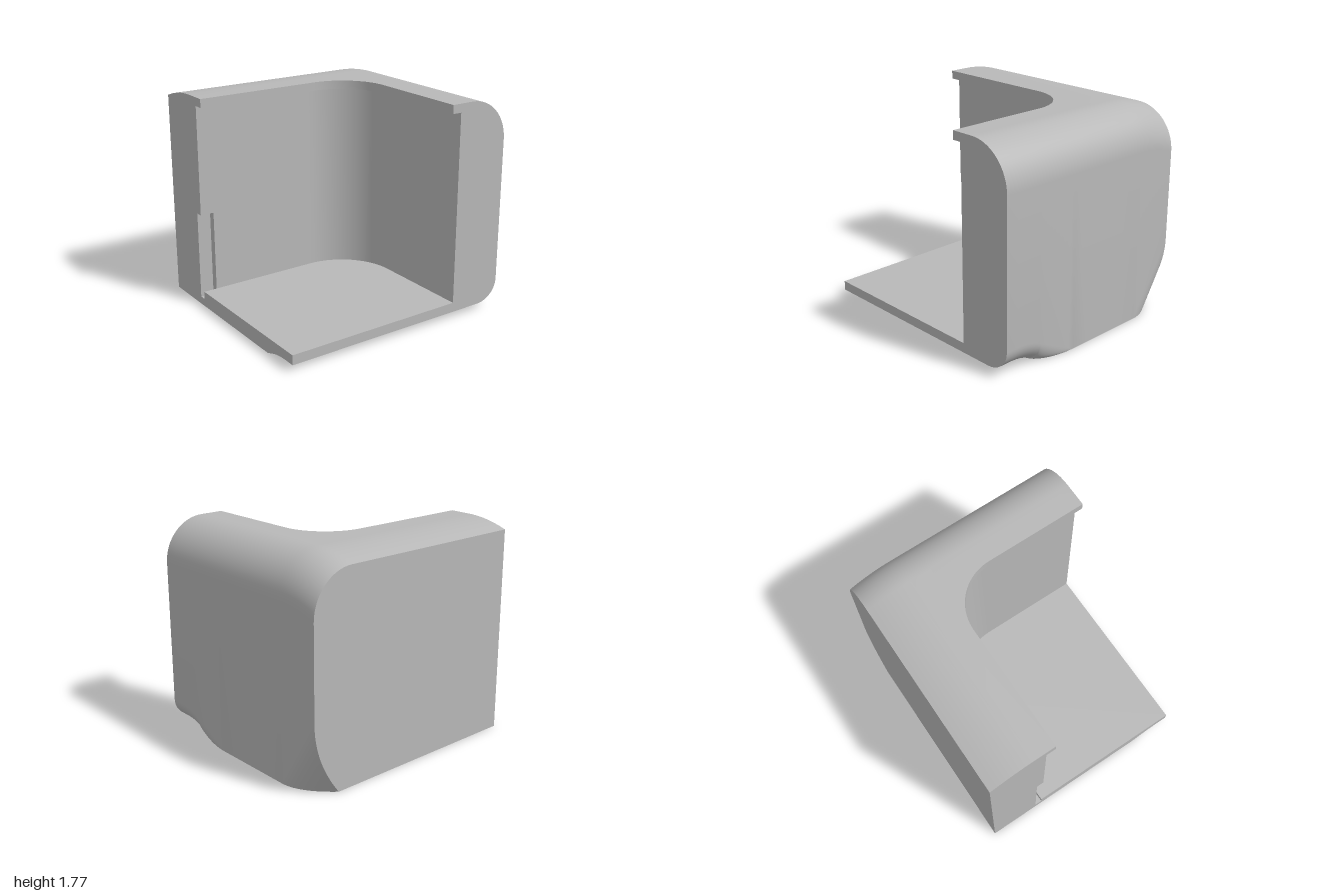
import * as THREE from 'three';
import { toCreasedNormals } from 'three/addons/utils/BufferGeometryUtils.js';

const TOP = 1.77, LIP = 1.70, FLOOR = 0.13, FRONT = 0.91, BACK = -0.91;
const clamp01 = v => Math.min(1, Math.max(0, v));

// Grid surface through rows of [x, y, z] points
function loft(rows) {
  const n = rows[0].length, index = [];
  for (let i = 0; i < rows.length - 1; i++) {
    for (let j = 0; j < n - 1; j++) {
      const a = i * n + j, b = a + n;
      index.push(a, b, a + 1, b, b + 1, a + 1);
    }
  }
  const g = new THREE.BufferGeometry();
  g.setAttribute('position', new THREE.Float32BufferAttribute(rows.flat(2), 3));
  g.setIndex(index);
  return toCreasedNormals(g, 0.5);
}

// Strip between two plan paths of [x, z] at two heights
const strip = (a, y0, b, y1) => loft(a.map((p, i) => [[p[0], y0, p[1]], [b[i][0], y1, b[i][1]]]));
const wall = (path, y0, y1) => strip(path, y0, path, y1);
const flat = pts => new THREE.ShapeGeometry(new THREE.Shape(pts.map(p => new THREE.Vector2(p[0], p[1]))));

// Rounded plan curve of the opening: along the back, round the corner, to the front
function openingPath(radius, startX) {
  const cx = 0.055, cz = 0.05, path = [[startX, cz - radius]];
  for (let i = 0; i <= 20; i++) {
    const a = i / 20 * Math.PI / 2;
    path.push([cx + radius * Math.sin(a), cz - radius * Math.cos(a)]);
  }
  path.push([cx + radius, FRONT]);
  return path;
}

// Outer profiles that change along z
const backBlend = z => clamp01((-0.53 - z) / 0.38);
const topY = z => TOP - 0.07 * backBlend(z) ** 2;
const bottomY = z => (z < 0.57 ? 0 : 0.05 * (1 - clamp01((0.8 - z) / 0.23) ** 2));

// Outer cross-section at z, from the top edge round the right side to the bottom left
function section(z, startX) {
  const t = topY(z), b = bottomY(z), u = backBlend(z), f = clamp01((z - 0.2) / 0.37);
  const pts = [[startX, t, z]];
  for (let i = 0; i <= 16; i++) {
    const a = i / 16 * Math.PI / 2;
    pts.push([0.65 + 0.35 * Math.sin(a), t - 0.35 + 0.35 * Math.cos(a), z]);
  }
  for (let i = 0; i <= 12; i++) {
    const s = i / 12, a = s * Math.PI / 2;
    if (u > 0) pts.push([1 - 0.23 * u * u * s * s, 0.6 * u * (1 - s), z]);
    else {
      const rx = 0.2 * (1 - Math.sqrt(1 - f * f)), ry = 0.18 * f;
      pts.push([1 - rx * (1 - Math.cos(a)), b + ry * (1 - Math.sin(a)), z]);
    }
  }
  pts.push([-1, b, z]);
  return pts;
}

export function createModel() {
  const group = new THREE.Group();
  const grey = new THREE.MeshStandardMaterial({ color: 0xb8b8b8, side: THREE.DoubleSide });
  grey.name = 'grey';
  const add = (name, geometry) => {
    const mesh = new THREE.Mesh(geometry, grey);
    mesh.name = name;
    group.add(mesh);
  };

  const lip = openingPath(0.40, -1);
  const slotX = -0.885, slotZ = -0.49, wallZ = -0.43, slotTop = 0.80, slotBottom = 0.065;
  const cavity = openingPath(0.48, -1);

  // Outer shell, with the top opening following the lip
  const rows = [];
  for (let i = 0; i <= 10; i++) rows.push(section(BACK + 0.38 * i / 10, -1));
  lip.slice(0, -1).forEach(([x, z]) => rows.push(section(z, x)));
  for (let i = 0; i <= 12; i++) rows.push(section(0.2 + 0.37 * Math.sin(i / 12 * Math.PI / 2), 0.455));
  for (let i = 1; i <= 8; i++) rows.push(section(0.57 + 0.23 * i / 8, 0.455));
  rows.push(section(FRONT, 0.455));
  add('outerShell', loft(rows));

  // Flat ends
  const frontOutline = [...rows[rows.length - 1], [-1, FLOOR], [0.535, FLOOR], [0.535, LIP], [0.455, LIP]];
  add('frontFace', flat(frontOutline).translate(0, 0, FRONT));
  add('backFace', flat(rows[0].map(p => [-p[0], p[1]])).rotateY(Math.PI).translate(0, 0, BACK));

  // Open left end: back wall, lip, slot and floor in profile
  const side = [];
  for (let i = 0; i <= 10; i++) {
    const z = BACK + 0.38 * i / 10;
    side.push([z, topY(z)]);
  }
  side.push([-0.35, TOP], [-0.35, LIP], [wallZ, LIP], [wallZ, slotTop], [slotZ, slotTop],
    [slotZ, slotBottom], [wallZ, slotBottom], [wallZ, FLOOR], [FRONT, FLOOR], [FRONT, 0.05]);
  for (let i = 8; i >= 0; i--) {
    const z = 0.57 + 0.23 * i / 8;
    side.push([z, bottomY(z)]);
  }
  side.push([BACK, 0]);
  add('leftEnd', flat(side).rotateY(-Math.PI / 2).translate(-1, 0, 0));

  // Cavity
  add('cavityFloor', flat([...cavity, [-1, FRONT]].map(p => [p[0], -p[1]])).rotateX(-Math.PI / 2).translate(0, FLOOR, 0));
  add('cavityWall', wall(openingPath(0.48, slotX), FLOOR, LIP));
  add('wallAboveSlot', wall([[-1, wallZ], [slotX, wallZ]], slotTop, LIP));
  add('lipUnderside', strip(cavity, LIP, lip, LIP));
  add('lipEdge', wall(lip, LIP, TOP));

  // Slot at the free end of the back wall
  const slotBack = [[-1, slotZ], [slotX, slotZ]], slotFront = [[-1, wallZ], [slotX, wallZ]];
  add('slotWalls', wall([...slotBack, [slotX, wallZ]], slotBottom, slotTop));
  add('slotTop', strip(slotBack, slotTop, slotFront, slotTop));
  add('slotBottom', strip(slotFront, slotBottom, slotBack, slotBottom));
  add('slotFloorEdge', wall([[slotX, wallZ], [-1, wallZ]], slotBottom, FLOOR));

  return group;
}
